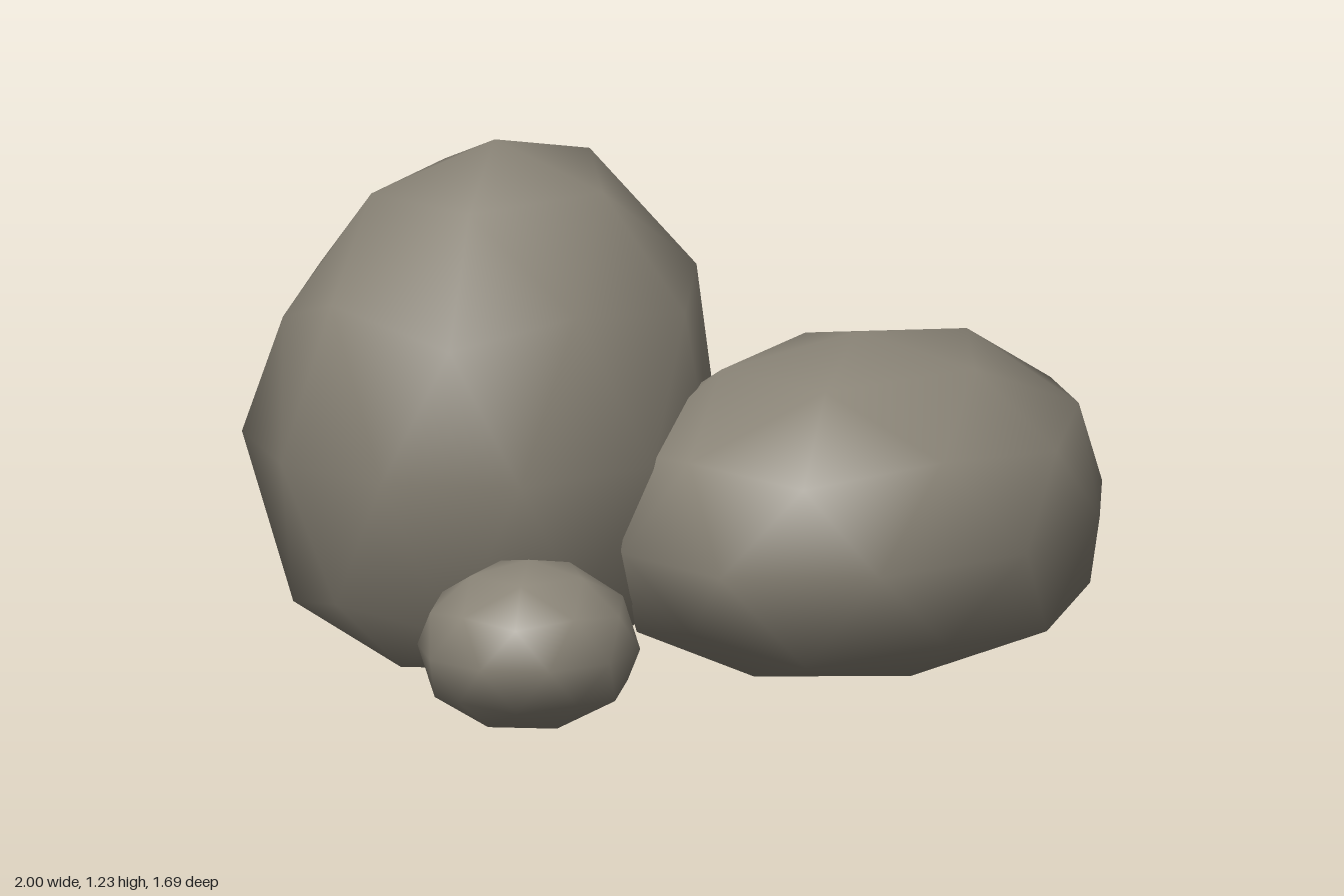
import * as THREE from 'three';
import { mergeVertices } from 'three/addons/utils/BufferGeometryUtils.js';

// Unit icosphere with shared vertices and one vertex at the +y pole
function unitBoulder() {
  const geo = new THREE.IcosahedronGeometry(1, 1);
  geo.deleteAttribute('uv');
  geo.deleteAttribute('normal');
  geo.rotateZ(-Math.atan(2 / (1 + Math.sqrt(5))));
  return mergeVertices(geo, 1e-3);
}

// Stretched boulder, flattened at the floor height.
// Each dent is [direction of a vertex, its new position]; null keeps a coordinate.
function boulder(name, material, { center, radius, floor, dents }) {
  const geo = unitBoulder();
  const pos = geo.attributes.position;
  const dirs = Array.from({ length: pos.count }, (_, i) => new THREE.Vector3().fromBufferAttribute(pos, i));
  const points = dirs.map(d => d.toArray().map((v, k) => center[k] + v * radius[k]));

  for (const [dir, target] of dents) {
    const aim = new THREE.Vector3(...dir);
    let best = 0;
    dirs.forEach((d, i) => { if (d.dot(aim) > dirs[best].dot(aim)) best = i; });
    target.forEach((v, k) => { if (v !== null) points[best][k] = v; });
  }

  points.forEach(([x, y, z], i) => pos.setXYZ(i, x, Math.max(y, floor), z));
  geo.computeVertexNormals();
  const mesh = new THREE.Mesh(geo, material);
  mesh.name = name;
  return mesh;
}

export function createModel() {
  const group = new THREE.Group();
  group.name = 'rockCluster';
  const stone = new THREE.MeshStandardMaterial({ color: 0x8a8477 });
  stone.name = 'stone';

  // Tall boulder at the back
  group.add(boulder('tallBoulder', stone, {
    center: [-0.23, 0.52, -0.34], radius: [0.62, 0.71, 0.505], floor: 0.01,
    dents: [
      [[-0.85, 0.53, 0], [-0.8, 0.93, null]],
      [[0.89, 0.45, 0], [0.365, 0.87, null]],
      [[0.53, 0.85, 0], [0.1, 1.15, null]],
      [[-0.43, 0.85, 0.31], [-0.49, 1.12, null]],
      [[-0.43, 0.85, -0.31], [-0.49, 1.12, null]],
      [[0.95, 0, -0.31], [0.39, null, -0.51]],
      [[0.95, 0, 0.31], [0.36, null, -0.18]],
      [[-0.95, 0, -0.31], [-0.8, null, -0.5]],
      [[-0.95, 0, 0.31], [-0.79, null, -0.19]],
      [[-0.59, 0, -0.81], [-0.62, null, -0.79]],
      [[-0.59, 0, 0.81], [-0.6, null, 0.08]],
      [[0.59, 0, 0.81], [0.07, null, 0.06]],
      [[0.28, 0.45, 0.85], [null, 0.85, 0.11]],
    ],
  }));

  // Wide boulder at the front
  group.add(boulder('wideBoulder', stone, {
    center: [0.33, 0.32, 0.305], radius: [0.69, 0.45, 0.54], floor: 0,
    dents: [
      [[0.89, 0.45, 0], [1, 0.54, null]],
      [[0.53, 0.85, 0], [0.71, 0.71, null]],
      [[-0.89, -0.45, 0], [-0.25, 0.14, null]],
      [[0.95, 0, 0.31], [0.99, null, 0.48]],
      [[0.95, 0, -0.31], [0.99, null, 0.14]],
      [[-0.95, 0, 0.31], [-0.34, null, 0.48]],
      [[-0.95, 0, -0.31], [-0.31, null, 0.14]],
      [[0.59, 0, 0.81], [0.72, null, 0.72]],
      [[-0.59, 0, 0.81], [-0.08, null, 0.75]],
      [[0.59, 0, -0.81], [0.71, null, -0.09]],
    ],
  }));

  // Small stone at the side
  group.add(boulder('smallStone', stone, {
    center: [-0.745, 0.19, 0.24], radius: [0.27, 0.21, 0.26], floor: 0.02,
    dents: [],
  }));

  return group;
}
